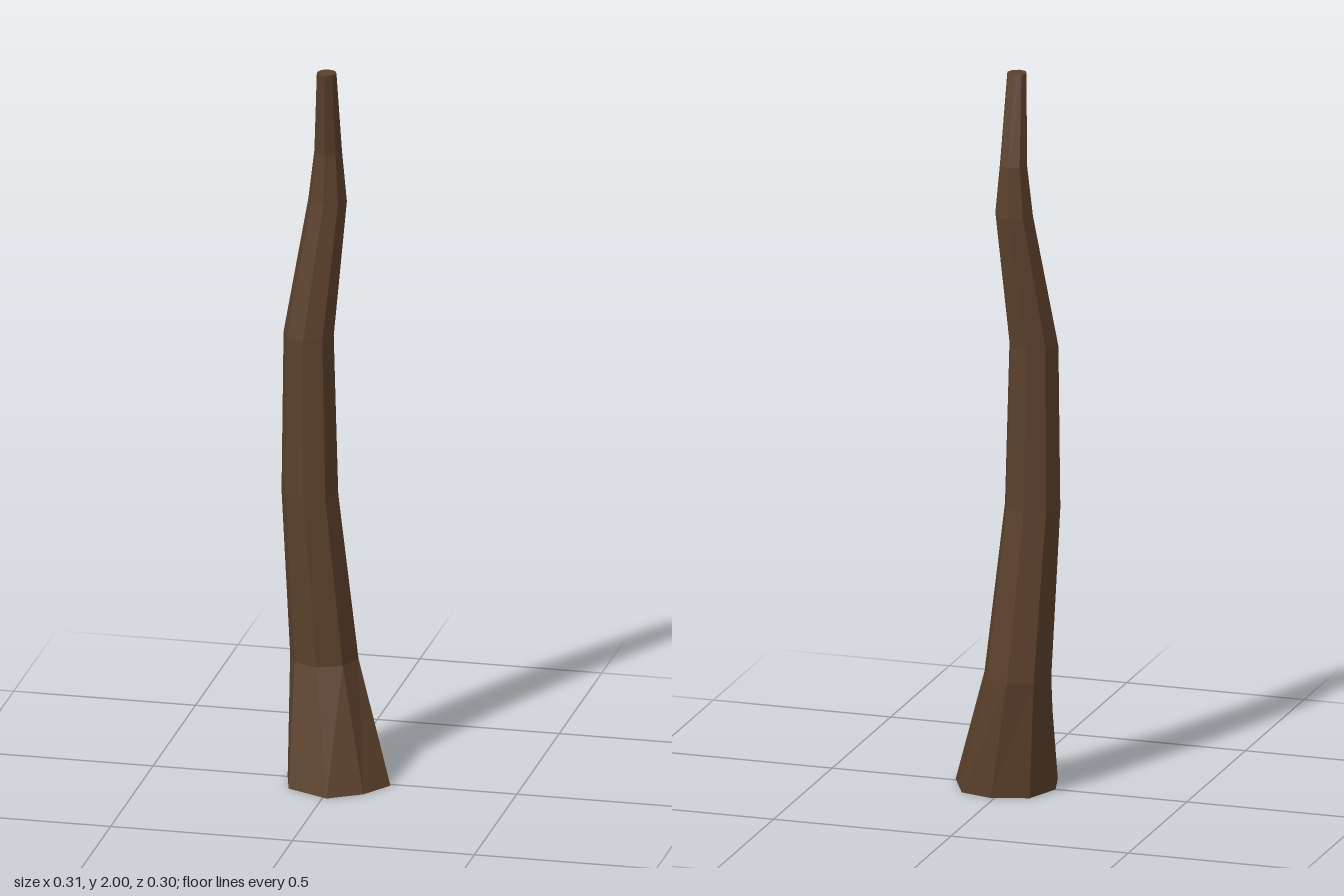
import * as THREE from 'three';

const SIDES = 8;

// Octagonal cross-section: height, centre x, centre z, radius x, radius z
function ring(y, cx, cz, rx, rz) {
  return Array.from({ length: SIDES }, (_, i) => {
    const a = (i / SIDES) * Math.PI * 2;
    return new THREE.Vector3(cx + rx * Math.cos(a), y, cz + rz * Math.sin(a));
  });
}

// Skin a stack of rings and close both ends
function loft(rings) {
  const pos = [];
  const tri = (...pts) => pts.forEach((p) => pos.push(p.x, p.y, p.z));
  const centre = (r) => r.reduce((s, p) => s.add(p), new THREE.Vector3()).divideScalar(r.length);
  const bottom = rings[0], top = rings[rings.length - 1];
  const cb = centre(bottom), ct = centre(top);
  for (let i = 0; i < SIDES; i++) {
    const j = (i + 1) % SIDES;
    for (let k = 0; k < rings.length - 1; k++) {
      const lo = rings[k], hi = rings[k + 1];
      tri(lo[i], hi[i], lo[j]);
      tri(lo[j], hi[i], hi[j]);
    }
    tri(cb, bottom[i], bottom[j]);
    tri(ct, top[j], top[i]);
  }
  const geo = new THREE.BufferGeometry();
  geo.setAttribute('position', new THREE.Float32BufferAttribute(pos, 3));
  geo.computeVertexNormals();
  return geo;
}

export function createModel() {
  const group = new THREE.Group();
  group.name = 'woodenStake';

  const bark = new THREE.MeshStandardMaterial({ color: 0x5c402c, flatShading: true });
  bark.name = 'brown bark';

  // Uneven flared foot
  const foot = [
    [0.155, 0.01], [0.1, 0.095], [0.012, 0.15], [-0.105, 0.095],
    [-0.13, 0], [-0.09, -0.1], [0.01, -0.13], [0.1, -0.105],
  ].map(([x, z]) => new THREE.Vector3(x, 0, z));

  // Crooked, tapering trunk
  const trunk = new THREE.Mesh(loft([
    foot,
    ring(0.33, -0.042, -0.055, 0.094, 0.095),
    ring(0.8, -0.077, -0.035, 0.078, 0.076),
    ring(1.25, -0.08, -0.033, 0.069, 0.068),
    ring(1.62, -0.037, -0.072, 0.053, 0.053),
    ring(1.76, -0.035, -0.071, 0.038, 0.042),
    ring(2, -0.027, -0.018, 0.027, 0.027),
  ]), bark);
  trunk.name = 'trunk';
  group.add(trunk);
  return group;
}
